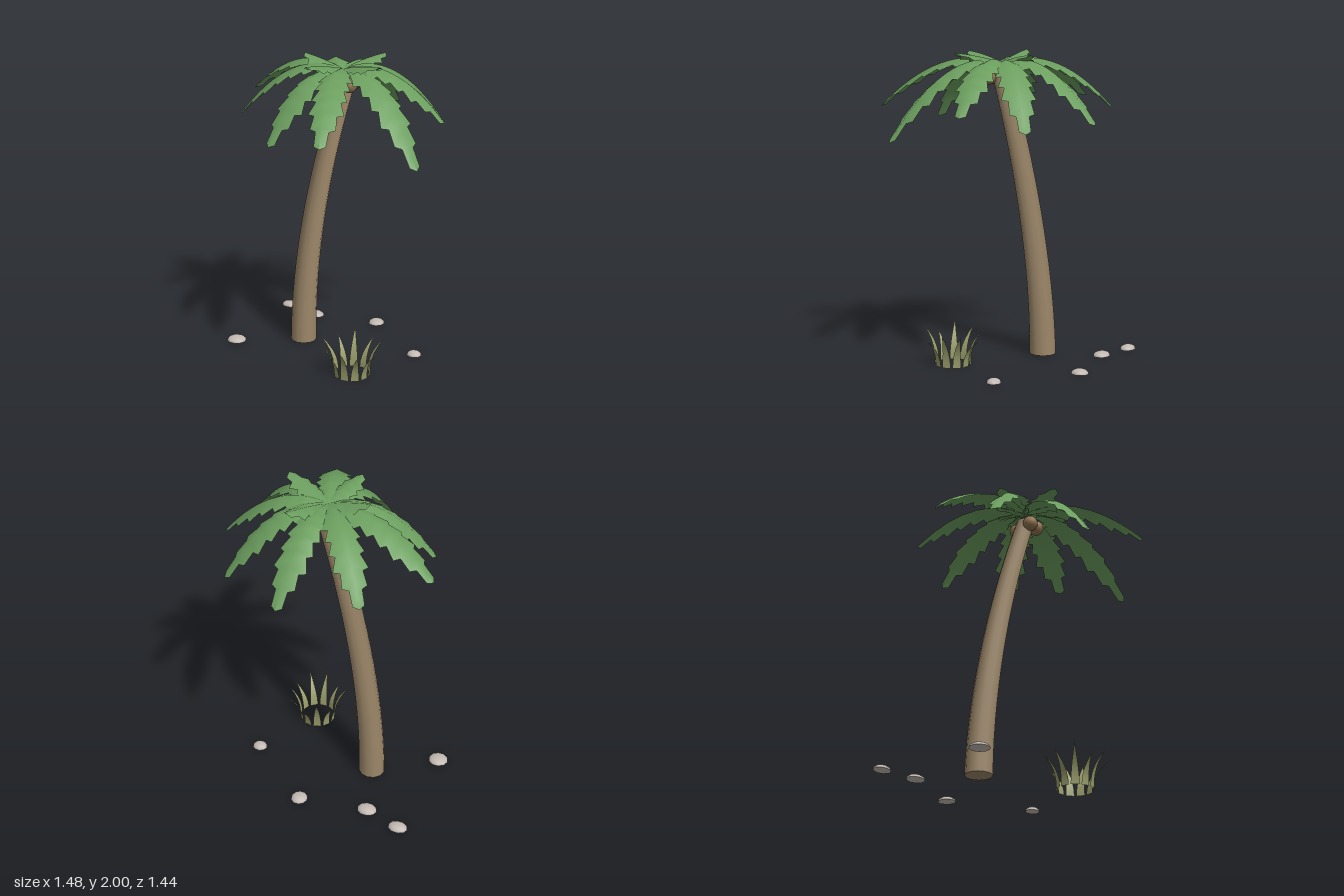
import * as THREE from 'three';
import { mergeGeometries } from 'three/addons/utils/BufferGeometryUtils.js';

const mat = (name, color, side = THREE.FrontSide) => {
  const m = new THREE.MeshStandardMaterial({ color, side });
  m.name = name;
  return m;
};

// Smooth strip surface from rows of points, all rows having the same length
function strip(rows) {
  const n = rows[0].length, index = [];
  for (let i = 0; i < rows.length - 1; i++) {
    for (let j = 0; j < n - 1; j++) {
      const a = i * n + j, b = a + 1, c = a + n, d = c + 1;
      index.push(a, b, c, b, d, c);
    }
  }
  const g = new THREE.BufferGeometry();
  g.setAttribute('position', new THREE.Float32BufferAttribute(rows.flat(2), 3));
  g.setIndex(index);
  g.computeVertexNormals();
  return g;
}

const CROWN = [0.05, 1.93, -0.04];

// Drooping leaf with a raised rib and saw-toothed edges
function frondGeometry([tx, ty, tz], teeth, rise, width) {
  const [cx, cy, cz] = CROWN;
  const dx = tx - cx, dz = tz - cz, len = Math.hypot(dx, dz);
  const sx = -dz / len, sz = dx / len;
  const fall = rise + cy - ty;
  const at = (t, w) => [
    cx + dx * t + sx * w,
    cy + rise * t - fall * t * t - Math.abs(w) * 0.45,
    cz + dz * t + sz * w,
  ];
  const rows = [];
  for (let i = 0; i <= teeth * 2; i++) {
    const t = i / (teeth * 2), tooth = i % 2 === 1;
    let w = width * Math.min(1, 0.3 + 2.5 * t) * Math.min(1, (1 - t) * 3 + 0.15);
    if (!tooth) w *= 0.7;
    if (t === 1) w = 0;
    const edge = tooth ? t + 0.25 / teeth : t;
    rows.push([at(edge, -w), at(t, 0), at(edge, w)]);
  }
  // order the corners so the upper side is the front
  return strip(rows.map((r) => r.reverse()));
}

// Pointed grass blade growing up and bending outward
function bladeGeometry(angle, baseR, tipR, height, width) {
  const c = Math.cos(angle), s = Math.sin(angle), rows = [];
  for (let i = 0; i <= 5; i++) {
    const t = i / 5;
    const r = baseR + (tipR - baseR) * t ** 2.2;
    const w = (width / 2) * (1 - t ** 1.6);
    const y = height * (t - 0.08 * t * t) / 0.92;
    rows.push([[c * r - s * w, y, s * r + c * w], [c * r + s * w, y, s * r - c * w]]);
  }
  return strip(rows);
}

export function createModel() {
  const model = new THREE.Group();
  model.name = 'palmTree';
  const bark = mat('bark', 0x9c8769);
  const leaf = mat('leaf', 0x6c9f5f, THREE.DoubleSide);
  const shell = mat('coconutShell', 0x8f7350);
  const grass = mat('dryGrass', 0x989c6a, THREE.DoubleSide);
  const stone = mat('stone', 0xc2b9b2);

  const add = (parent, name, geometry, material) => {
    const mesh = new THREE.Mesh(geometry, material);
    mesh.name = name;
    parent.add(mesh);
    return mesh;
  };
  const group = (name) => {
    const g = new THREE.Group();
    g.name = name;
    model.add(g);
    return g;
  };

  // Leaning trunk: a tapered cylinder bent along a curve
  const H = 1.89;
  const trunk = new THREE.CylinderGeometry(0.059, 0.086, H, 12, 16);
  trunk.translate(0, H / 2, 0);
  const p = trunk.attributes.position;
  for (let i = 0; i < p.count; i++) {
    const y = Math.max(0, p.getY(i));
    p.setX(i, p.getX(i) - 0.3 + 0.12 * y ** 1.82);
    p.setZ(i, p.getZ(i) - 0.148 + 0.1 * (y / H) ** 1.5);
  }
  add(model, 'trunk', trunk, bark);

  // Long drooping fronds, given by their tips
  const fronds = group('fronds');
  [
    [0.10, 1.575, -0.72], [0.54, 1.55, -0.49], [0.70, 1.64, -0.13],
    [0.735, 1.47, 0.345], [0.285, 1.64, 0.72], [-0.15, 1.55, 0.55],
    [-0.59, 1.61, 0.125], [-0.70, 1.68, -0.24], [-0.38, 1.64, -0.60],
  ].forEach((tip) => add(fronds, 'longFrond', frondGeometry(tip, 8, 0.25, 0.108), leaf));

  // Short upright fronds in the middle of the crown
  [
    [0.20, 1.99, -0.33], [0.37, 2.0, 0.10], [-0.05, 1.99, 0.26], [-0.23, 2.0, -0.06],
  ].forEach((tip) => add(fronds, 'shortFrond', frondGeometry(tip, 5, 0.1, 0.08), leaf));

  // Coconuts around the top of the trunk
  const coconuts = group('coconuts');
  [[0.12, 1.845, 0.01], [0.035, 1.84, 0.015], [0.09, 1.84, -0.12]].forEach((c) =>
    add(coconuts, 'coconut', new THREE.SphereGeometry(0.05, 14, 10), shell).position.set(...c));

  // Ring of grass blades
  const tuft = group('grassTuft');
  tuft.position.set(0.245, 0.005, 0.21);
  const count = 11;
  for (let i = 0; i < count; i++) {
    const angle = (i / count) * Math.PI * 2 + 0.93;
    const height = 0.215 + 0.03 * Math.sin(i * 2.4);
    const reach = 0.215 + 0.02 * Math.cos(i * 1.7);
    add(tuft, 'grassBlade', bladeGeometry(angle, 0.115, reach, height, 0.055), grass);
  }

  // Flat-bottomed pebbles: x, z, half width, half depth
  const dome = mergeGeometries([
    new THREE.SphereGeometry(1, 10, 4, 0, Math.PI * 2, 0, Math.PI / 2),
    new THREE.CircleGeometry(1, 10).rotateX(Math.PI / 2),
  ]);
  const stones = group('stones');
  [
    [-0.655, -0.60, 0.065, 0.05], [-0.415, -0.525, 0.066, 0.055], [0.03, -0.595, 0.055, 0.058],
    [0.48, -0.235, 0.05, 0.046], [-0.68, 0.10, 0.066, 0.064],
  ].forEach(([x, z, w, d]) => {
    const m = add(stones, 'stone', dome, stone);
    m.position.set(x, 0.006, z);
    m.scale.set(w, 0.031, d);
  });

  return model;
}
